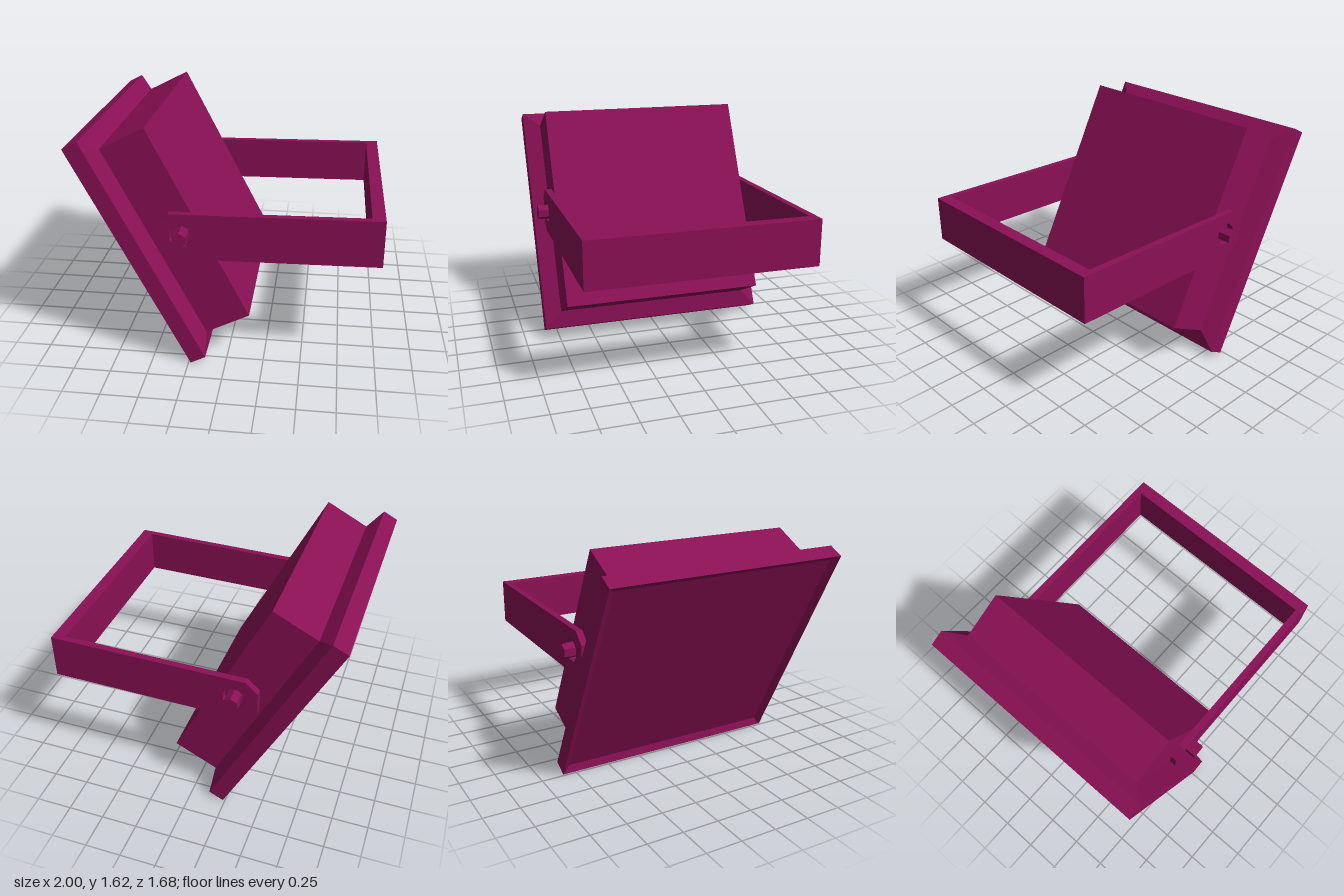
import * as THREE from 'three';

const material = new THREE.MeshStandardMaterial({ color: 0x8a1055, flatShading: true });

function add(parent, name, geometry) {
  const mesh = new THREE.Mesh(geometry, material);
  mesh.name = name;
  parent.add(mesh);
  return mesh;
}

export function createModel() {
  const model = new THREE.Group();
  model.name = 'floodlight';

  // Square housing: half-width and height of each cross-section, from recessed face to back
  const profile = [[0, 0.03], [0.79, 0.03], [0.84, 0], [0.84, 0.112], [0.723, 0.165], [0.723, 0.491], [0, 0.491]]
    .map(([half, h]) => new THREE.Vector2(half * Math.SQRT2, h));
  const housing = add(model, 'housing', new THREE.LatheGeometry(profile, 4, Math.PI / 4));
  housing.position.set(-0.6175, 0.7525, 0);
  housing.rotation.z = -1.098;

  // U-shaped bracket with an octagonal bolt hole in each arm
  const bracket = new THREE.Group();
  bracket.name = 'bracket';
  model.add(bracket);
  const pivot = new THREE.Vector2(-0.29, 0.92);
  const armShape = new THREE.Shape([
    [-0.37, 0.755], [1, 0.775], [1, 1.092], [-0.37, 1.07], [-0.45, 0.995], [-0.45, 0.835],
  ].map(([x, y]) => new THREE.Vector2(x, y)));
  const hole = [];
  for (let i = 0; i < 8; i++) {
    const a = -(i + 0.5) * Math.PI / 4;
    hole.push(new THREE.Vector2(pivot.x + 0.08 * Math.cos(a), pivot.y + 0.08 * Math.sin(a)));
  }
  armShape.holes.push(new THREE.Path(hole));
  const armGeometry = new THREE.ExtrudeGeometry(armShape, { depth: 0.046, bevelEnabled: false });

  for (const side of [1, -1]) {
    const label = side > 0 ? 'left' : 'right';
    add(bracket, label + 'Arm', armGeometry).position.z = side > 0 ? 0.725 : -0.771;

    // Hexagonal pivot bolt
    const bolt = add(model, label + 'Bolt', new THREE.CylinderGeometry(0.052, 0.052, 0.14, 6));
    bolt.rotation.x = Math.PI / 2;
    bolt.position.set(pivot.x, pivot.y, side * 0.77);
  }

  // Crossbar joining the two arms
  add(bracket, 'crossbar', new THREE.BoxGeometry(0.085, 0.316, 1.45)).position.set(0.9575, 0.933, 0);

  return model;
}
